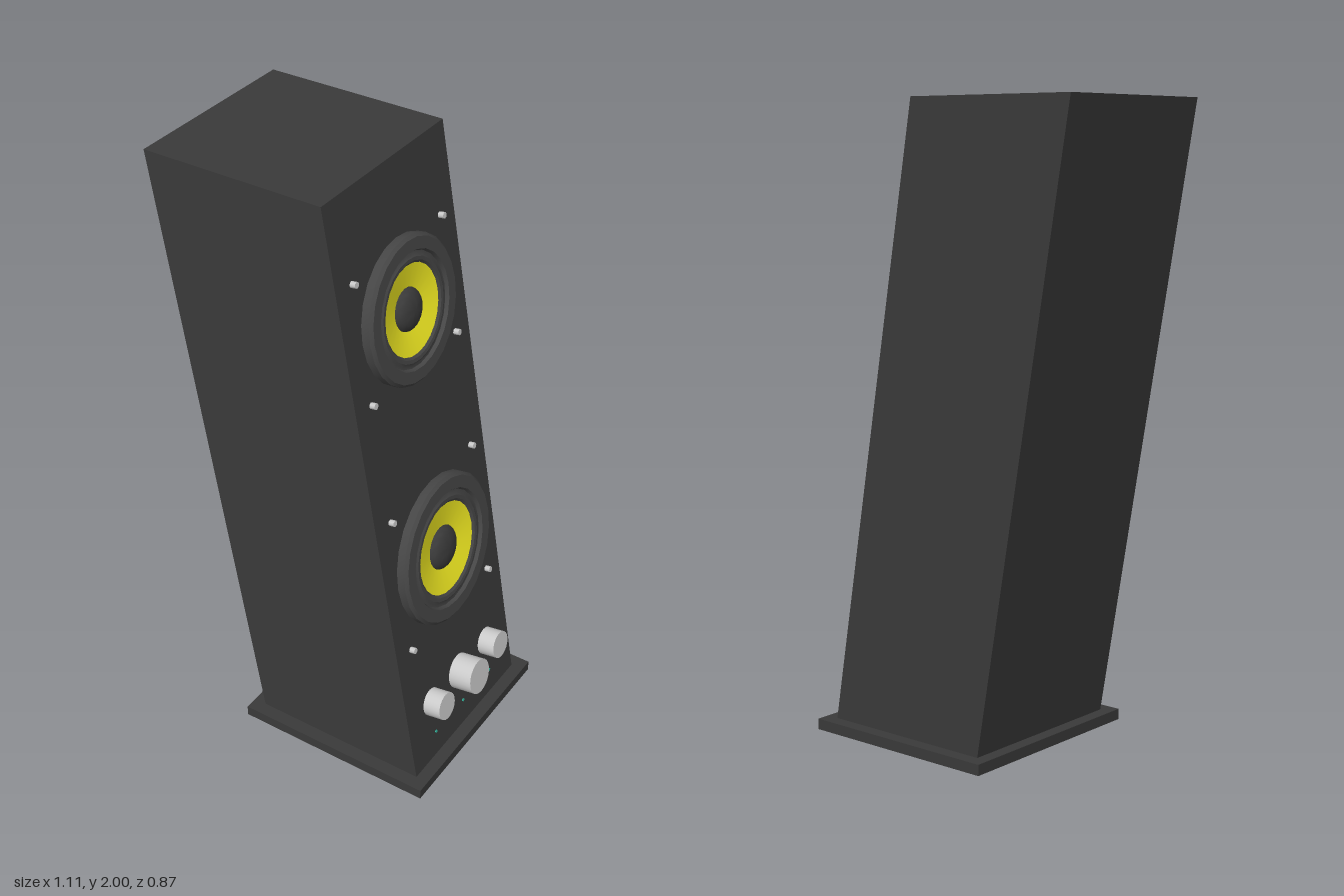
import * as THREE from 'three';
import { toCreasedNormals } from 'three/addons/utils/BufferGeometryUtils.js';

const LEAN = 0.341;            // how far the cabinet leans back over its height
const BASE_H = 0.035;
const HEIGHT = 1.965;
const WIDTH = 0.617;
const DEPTH = 0.595;

const paint = (color) => new THREE.MeshStandardMaterial({ color });
const black = paint(0x3a3a3a);
const rubber = paint(0x464646);
const yellow = paint(0xf3ec22);
const grey = paint(0xcccccc);
const teal = paint(0x35b8a0);

function add(parent, name, geometry, material, x = 0, y = 0, z = 0) {
  const mesh = new THREE.Mesh(geometry, material);
  mesh.name = name;
  mesh.position.set(x, y, z);
  parent.add(mesh);
  return mesh;
}

// Disc or peg whose axis points out of the front panel, standing on z = 0
function peg(radius, length, sides) {
  const g = new THREE.CylinderGeometry(radius, radius, length, sides);
  g.rotateX(Math.PI / 2);
  g.translate(0, 0, length / 2);
  return g;
}

// Turned part facing out of the front panel; points are [radius, height]
function turned(points, crease = 0.5) {
  const g = new THREE.LatheGeometry(points.map(([r, h]) => new THREE.Vector2(r, h)), 24);
  g.rotateX(Math.PI / 2);
  return toCreasedNormals(g, crease);
}

// Loudspeaker: surround, yellow cone and dust cap, with four screws around it
function driver(scale, screwX, screwY) {
  const group = new THREE.Group();
  const unit = new THREE.Group();
  unit.scale.set(scale, scale, 1);
  group.add(unit);

  add(unit, 'surround', turned([
    [0.246, 0], [0.246, 0.026], [0.236, 0.035], [0.196, 0.035],
    [0.190, 0.024], [0.182, 0.024], [0.172, 0.029], [0.160, 0.028], [0.152, 0.022],
  ]), rubber);
  add(unit, 'cone', turned([[0.152, 0.022], [0.07, 0.006]]), yellow);

  const cap = [];
  for (let i = 0; i <= 6; i++) {
    const a = (i / 6) * Math.PI / 2;
    cap.push([0.073 * Math.cos(a), 0.004 + 0.032 * Math.sin(a)]);
  }
  add(unit, 'dustCap', turned(cap, 1), black);

  for (const sx of [-1, 1]) {
    for (const sy of [-1, 1]) {
      add(group, 'screw', peg(0.01, 0.018, 8), grey, sx * screwX, sy * screwY, 0);
    }
  }
  return group;
}

export function createModel() {
  const model = new THREE.Group();
  model.name = 'speaker';

  // Everything is built facing local +z, then turned
  const tower = new THREE.Group();
  tower.name = 'tower';
  tower.position.set(0.141, 0, -0.0175);
  tower.rotation.y = Math.atan2(0.972, -0.235);
  model.add(tower);

  add(tower, 'basePlate', new THREE.BoxGeometry(0.705, BASE_H, 0.679), black, 0, BASE_H / 2, 0);

  // Cabinet: a box sheared backwards so its top stays level
  const box = new THREE.BoxGeometry(WIDTH, HEIGHT, DEPTH);
  box.translate(0, HEIGHT / 2, 0);
  const pos = box.attributes.position;
  for (let i = 0; i < pos.count; i++) {
    pos.setZ(i, pos.getZ(i) - LEAN * pos.getY(i) / HEIGHT);
  }
  box.computeVertexNormals();
  add(tower, 'cabinet', box, black, 0, BASE_H, 0);

  // Front panel frame: origin at its bottom edge, y runs up the slope
  const panel = new THREE.Group();
  panel.name = 'frontPanel';
  panel.position.set(0, BASE_H, DEPTH / 2);
  panel.rotation.x = -Math.atan2(LEAN, HEIGHT);
  tower.add(panel);

  const upper = driver(0.92, 0.231, 0.193);
  upper.name = 'upperDriver';
  upper.position.y = 1.536;
  const lower = driver(1, 0.231, 0.239);
  lower.name = 'lowerDriver';
  lower.position.y = 0.70;
  panel.add(upper, lower);

  // Control knobs with an indicator light under each
  for (const side of [-1, 0, 1]) {
    const [radius, length] = side ? [0.046, 0.06] : [0.059, 0.08];
    add(panel, 'knob', toCreasedNormals(peg(radius, length, 24), 0.6), grey, side * 0.17, 0.207, 0);
    add(panel, 'indicatorLight', peg(0.005, 0.003, 8), teal, side * 0.17, 0.082, 0);
  }
  return model;
}
